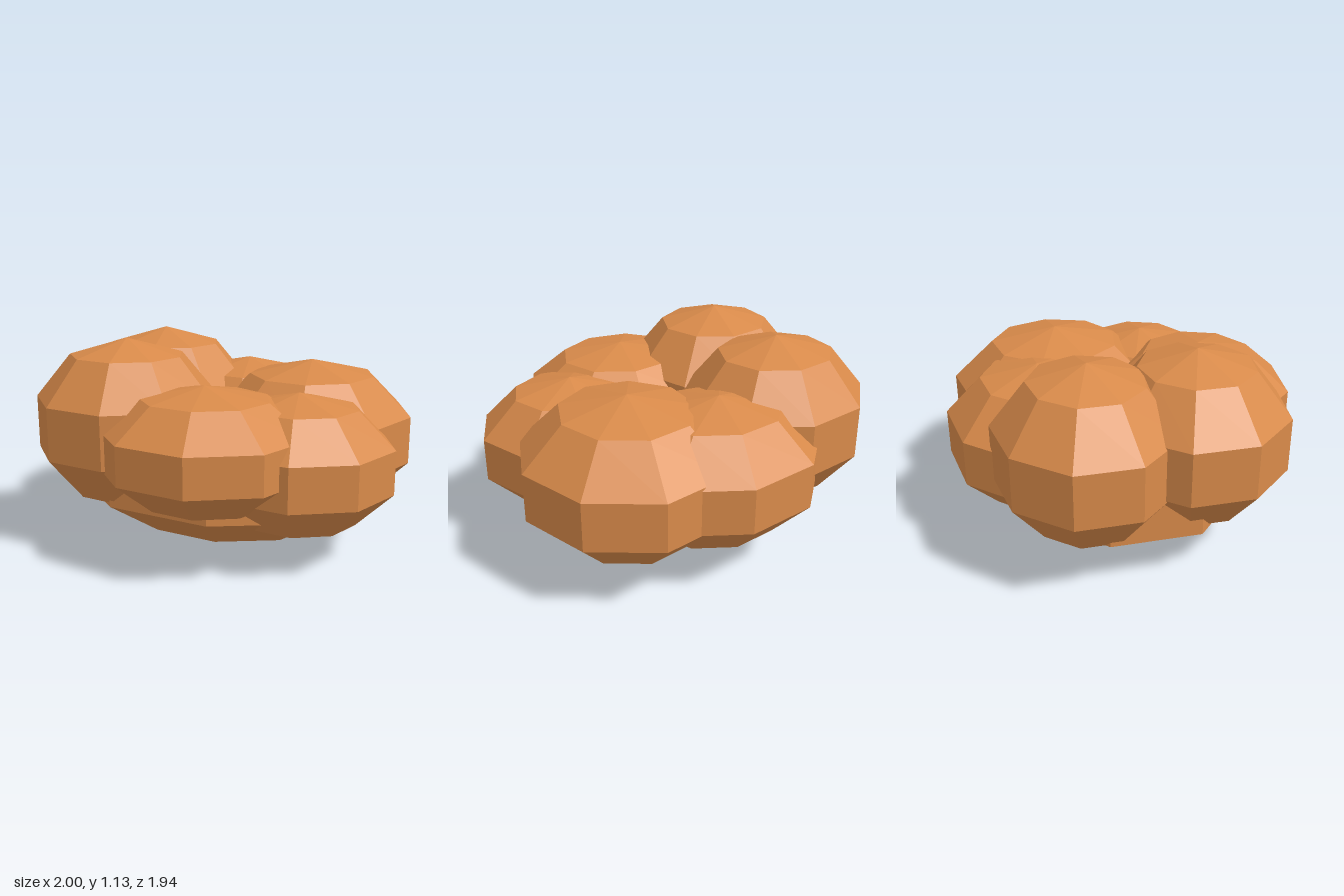
import * as THREE from 'three';

// Faceted ellipsoid: nine sides, five bands, one corner pointing to +x
function lobe(name, material, [x, y, z], [rx, ry, rz]) {
  const geometry = new THREE.SphereGeometry(1, 9, 5)
    .rotateY(Math.PI)
    .scale(rx, ry, rz)
    .toNonIndexed();
  geometry.computeVertexNormals(); // flat facets
  const mesh = new THREE.Mesh(geometry, material);
  mesh.name = name;
  mesh.position.set(x, y, z);
  return mesh;
}

export function createModel() {
  const group = new THREE.Group();
  group.name = 'foliageCluster';

  const foliage = new THREE.MeshStandardMaterial({ color: 0xd88a4a });
  foliage.name = 'autumn orange';

  // name, centre, radii
  const lobes = [
    ['baseLobe', [-0.01, 0.383, -0.025], [0.92, 0.383, 0.735]],
    ['frontRightLobe', [-0.48, 0.663, 0.27], [0.537, 0.47, 0.518]],
    ['backRightLobe', [-0.51, 0.65, -0.305], [0.55, 0.473, 0.513]],
    ['frontLobe', [0.055, 0.605, 0.46], [0.595, 0.337, 0.54]],
    ['backLobe', [-0.03, 0.54, -0.48], [0.61, 0.4, 0.528]],
    ['backLeftLobe', [0.41, 0.547, -0.31], [0.606, 0.43, 0.628]],
    ['frontLeftLobe', [0.487, 0.512, 0.225], [0.54, 0.38, 0.502]],
  ];
  for (const [name, centre, radii] of lobes) {
    group.add(lobe(name, foliage, centre, radii));
  }
  return group;
}
